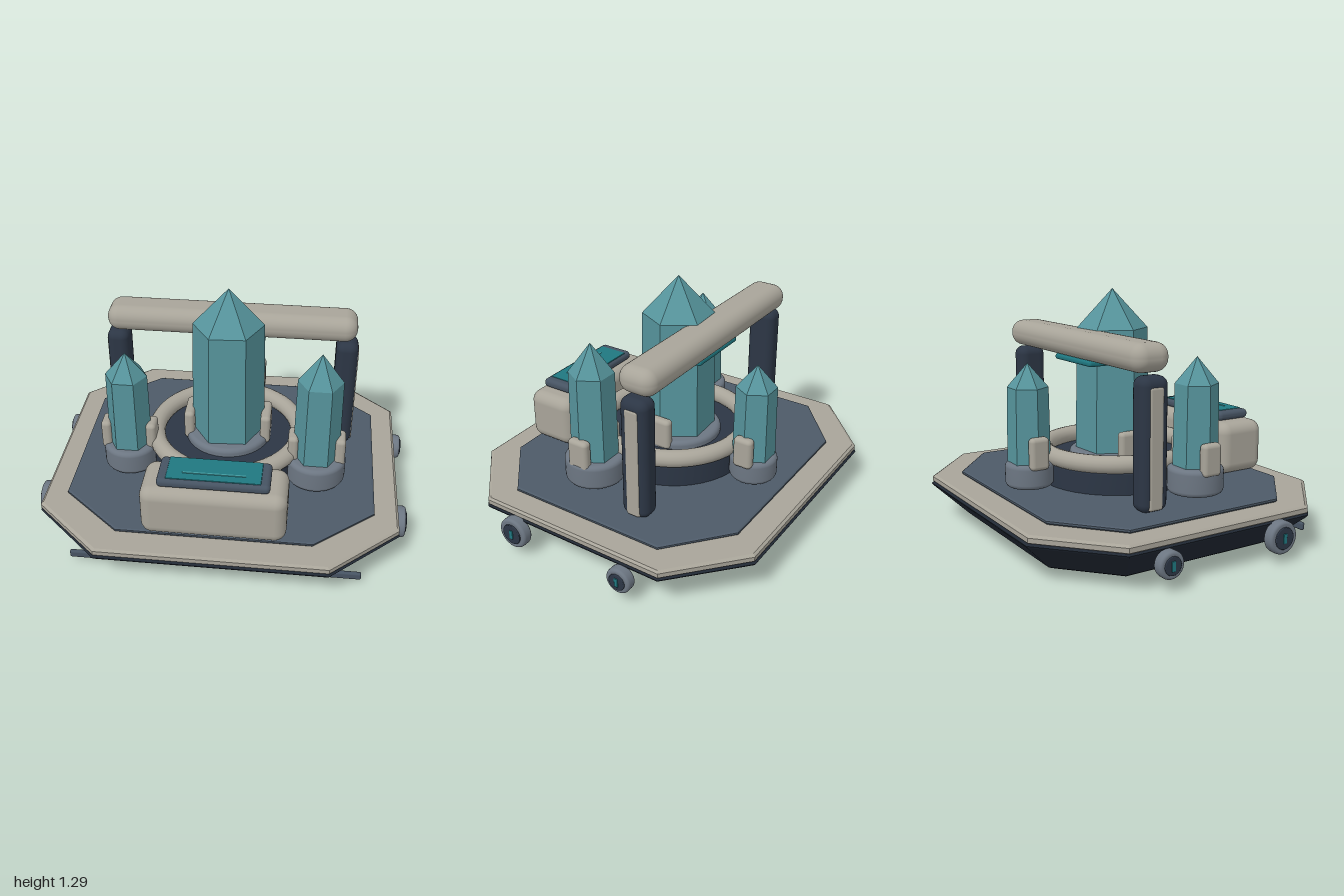
import * as THREE from 'three';
import { RoundedBoxGeometry } from 'three/addons/geometries/RoundedBoxGeometry.js';

const paint = (color, flatShading = false) => {
  const m = new THREE.MeshStandardMaterial({ color });
  m.flatShading = flatShading;
  return m;
};

// Solid from stacked eight-sided rings: [y, half width, half depth, corner x, corner z]
function octagonLoft(rings) {
  const pts = rings.map(([y, x, z, cx, cz]) =>
    [[x, cz], [cx, z], [-cx, z], [-x, cz], [-x, -cz], [-cx, -z], [cx, -z], [x, -cz]].map(([px, pz]) => [px, y, pz]));
  const pos = [];
  const tri = (...corners) => corners.forEach((c) => pos.push(...c));
  const last = pts.length - 1;
  for (let i = 0; i < 8; i++) {
    const j = (i + 1) % 8;
    for (let k = 0; k < last; k++) {
      const a = pts[k], b = pts[k + 1];
      tri(a[i], b[i], a[j]);
      tri(a[j], b[i], b[j]);
    }
    tri([0, rings[0][0], 0], pts[0][i], pts[0][j]);
    tri([0, rings[last][0], 0], pts[last][j], pts[last][i]);
  }
  const g = new THREE.BufferGeometry();
  g.setAttribute('position', new THREE.Float32BufferAttribute(pos, 3));
  g.computeVertexNormals();
  return g;
}

const lathe = (points, sides) => new THREE.LatheGeometry(points.map(([r, y]) => new THREE.Vector2(r, y)), sides);

// Disc with softened rims, standing on y = 0
function softDisc(r, h, b) {
  const pts = [[0, 0], [r - b, 0]];
  for (let i = 0; i <= 4; i++) {
    const a = (i / 4) * Math.PI / 2;
    pts.push([r - b + b * Math.sin(a), b - b * Math.cos(a)]);
  }
  for (let i = 0; i <= 4; i++) {
    const a = (i / 4) * Math.PI / 2;
    pts.push([r - b + b * Math.cos(a), h - b + b * Math.sin(a)]);
  }
  pts.push([0, h]);
  return lathe(pts, 40);
}

export function createModel() {
  const root = new THREE.Group();
  const tan = paint(0xa8a499), hullDark = paint(0x202833, true), dark = paint(0x2c3645);
  const deckBlue = paint(0x4d5a68, true), steel = paint(0x6c7682), slate = paint(0x465362);
  const teal = paint(0x1f7780), glow = paint(0x3f9aa0), gem = paint(0x56949c, true);
  const tanFlat = paint(0xa8a499, true);

  const add = (name, geometry, material, x = 0, y = 0, z = 0, parent = root) => {
    const m = new THREE.Mesh(geometry, material);
    m.name = name;
    m.position.set(x, y, z);
    parent.add(m);
    return m;
  };
  const box = (name, w, h, d, r, material, x, y, z, parent) =>
    add(name, new RoundedBoxGeometry(w, h, d, 4, r), material, x, y, z, parent);

  // Floating hull, rim and deck
  add('hull', octagonLoft([
    [0, 0.69, 0.62, 0.43, 0.385], [0.006, 0.725, 0.65, 0.45, 0.405], [0.025, 0.76, 0.68, 0.475, 0.425],
    [0.19, 0.94, 0.845, 0.588, 0.525], [0.2, 0.945, 0.85, 0.592, 0.53], [0.21, 0.93, 0.835, 0.582, 0.52],
  ]), hullDark);
  add('rim', octagonLoft([
    [0.205, 0.93, 0.83, 0.58, 0.52], [0.213, 0.942, 0.843, 0.59, 0.528],
    [0.237, 0.942, 0.843, 0.59, 0.528], [0.247, 0.93, 0.83, 0.58, 0.52],
  ]), tanFlat);
  add('deck', octagonLoft([
    [0.24, 0.80, 0.69, 0.495, 0.43], [0.255, 0.815, 0.703, 0.503, 0.44],
    [0.265, 0.815, 0.703, 0.503, 0.44], [0.27, 0.805, 0.695, 0.498, 0.435],
  ]), deckBlue);

  // Central plinth with its ring
  add('plinth', softDisc(0.42, 0.125, 0.01), dark, 0, 0.262, 0);
  const ring = add('plinthRing', new THREE.TorusGeometry(0.396, 0.047, 16, 48), tan, 0, 0.425, 0);
  ring.rotation.x = Math.PI / 2;

  // Crystals: each with a socket and two claws
  const crystal = (name, o) => {
    const g = new THREE.Group();
    g.name = name;
    g.position.set(o.x, 0, o.z);
    root.add(g);
    add('socket', softDisc(o.socket, o.socketTop - 0.28, 0.025), steel, 0, 0.28, 0, g);
    const shape = lathe([[0, 0.38], [o.r * 1.03, 0.38], [o.r * 0.97, o.shoulder], [0, o.top]], 6);
    add('crystal', shape.toNonIndexed(), gem, 0, 0, 0, g).rotation.y = Math.PI / 2 + (o.turn || 0);
    for (const s of [-1, 1]) box('claw', 0.055, 0.17, o.claw, 0.022, tan, s * o.clawX, 0.47, 0, g);
  };
  crystal('mainCrystal', { x: 0, z: -0.027, r: 0.195, shoulder: 1.08, top: 1.287, socket: 0.235, socketTop: 0.43, claw: 0.18, clawX: 0.21, turn: 0.06 });
  crystal('leftCrystal', { x: 0.495, z: 0.17, r: 0.122, shoulder: 0.89, top: 1.05, socket: 0.16, socketTop: 0.42, claw: 0.12, clawX: 0.125 });
  crystal('rightCrystal', { x: -0.522, z: 0.145, r: 0.115, shoulder: 0.84, top: 0.975, socket: 0.145, socketTop: 0.42, claw: 0.11, clawX: 0.122 });
  crystal('backCrystal', { x: 0.03, z: -0.52, r: 0.11, shoulder: 0.8, top: 0.925, socket: 0.126, socketTop: 0.41, claw: 0.105, clawX: 0.113 });

  // Arch: two pillars with side panels, crossbar and a lamp below it
  for (const s of [-1, 1]) {
    box('pillar', 0.12, 0.66, 0.155, 0.045, dark, s * 0.627, 0.595, -0.208);
    box('pillarPanel', 0.03, 0.6, 0.08, 0.014, tan, s * 0.677, 0.578, -0.21);
  }
  box('crossbar', 1.35, 0.143, 0.207, 0.066, tan, 0, 1.008, -0.213);
  box('crossbarLamp', 0.37, 0.032, 0.165, 0.014, teal, 0, 0.923, -0.195);

  // Control console
  box('console', 0.735, 0.285, 0.285, 0.06, tan, 0, 0.412, 0.592);
  box('screenFrame', 0.56, 0.05, 0.2, 0.022, slate, 0, 0.58, 0.595);
  box('screen', 0.47, 0.012, 0.17, 0.004, teal, 0, 0.602, 0.592);
  box('screenLine', 0.315, 0.006, 0.012, 0.002, glow, 0, 0.608, 0.625);

  // Side hover pods and front lamps
  for (const s of [-1, 1]) {
    for (const [z, r] of [[0.333, 0.084], [-0.328, 0.068]]) {
      const pod = new THREE.Group();
      pod.name = 'hoverPod';
      pod.position.set(s * 0.93, 0.13, z);
      pod.rotation.z = -s * Math.PI / 2;
      root.add(pod);
      add('podBody', softDisc(r, 0.06, 0.015), steel, 0, 0, 0, pod);
      add('podFace', softDisc(r * 0.67, 0.012, 0.004), dark, 0, 0.054, 0, pod);
      box('podLight', 0.05, 0.008, 0.022, 0.003, teal, 0, 0.066, 0, pod);
    }
    box('frontLamp', 0.205, 0.042, 0.024, 0.01, slate, s * 0.657, 0.056, 0.685);
  }
  return root;
}
